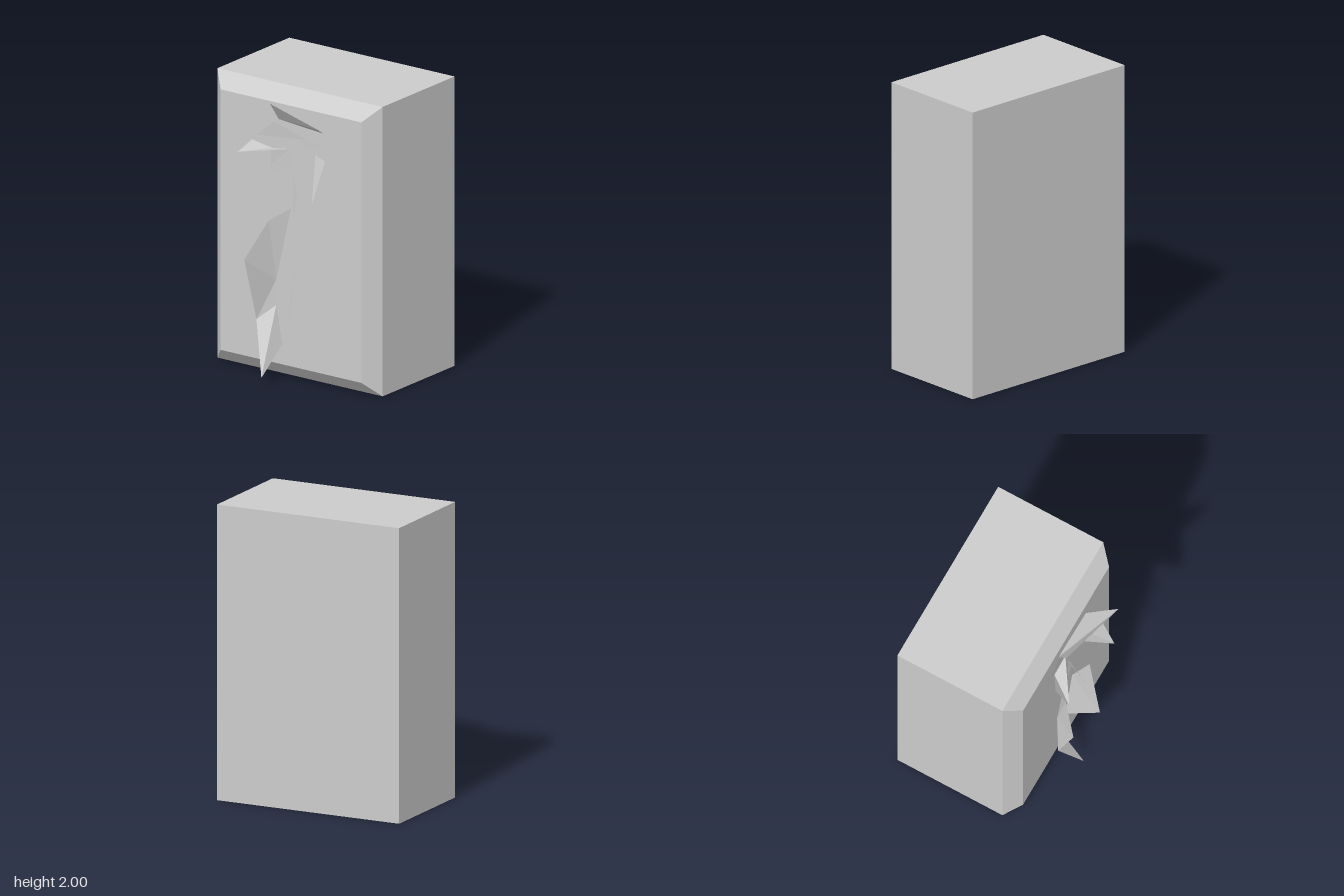
import * as THREE from 'three';

export function createModel() {
  const group = new THREE.Group();
  group.name = 'crackedBlock';
  const stone = new THREE.MeshStandardMaterial({ color: 0xcccccc, flatShading: true });
  const thin = new THREE.MeshStandardMaterial({ color: 0xcccccc, flatShading: true, side: THREE.DoubleSide });

  // Block with its right (-x) face chamfered on all four edges
  const block = new THREE.BoxGeometry(0.89, 2, 1.35, 2, 1, 1);
  const p = block.attributes.position;
  const bevel = 0.1;
  for (let i = 0; i < p.count; i++) {
    const x = p.getX(i);
    if (x > 0.1) p.setX(i, 0.54);
    else if (x > -0.1) p.setX(i, -0.25);
    else p.setXYZ(i, -0.35, p.getY(i) - Math.sign(p.getY(i)) * bevel, p.getZ(i) - Math.sign(p.getZ(i)) * bevel);
  }
  block.translate(0, 1, 0);
  block.computeVertexNormals();
  const body = new THREE.Mesh(block, stone);
  body.name = 'block';
  group.add(body);

  // A thin shard: corners given in order, filled as a fan from the first
  function addShard(name, corners) {
    const geo = new THREE.BufferGeometry();
    geo.setAttribute('position', new THREE.Float32BufferAttribute(corners.flat(), 3));
    const index = [];
    for (let i = 1; i < corners.length - 1; i++) index.push(0, i, i + 1);
    geo.setIndex(index);
    geo.computeVertexNormals();
    const mesh = new THREE.Mesh(geo, thin);
    mesh.name = name;
    group.add(mesh);
  }

  // Shards standing out of the chamfered face: root, bend, tip, root
  const root = -0.35, bend = -0.42, tip = -0.54;
  addShard('topShard', [[root, 1.79, -0.1], [bend, 1.91, -0.12], [tip, 1.855, 0.365], [root, 1.76, 0.265]]);
  addShard('upperFrontShard', [[root, 1.6, 0.2], [bend, 1.6, 0.33], [tip, 1.32, 0.31], [root, 1.38, 0.2]]);
  addShard('upperBackShard', [[root, 1.58, -0.155], [bend, 1.635, -0.265], [tip, 1.575, -0.295], [root, 1.6, -0.01]]);
  addShard('smallShard', [[root, 1.58, -0.01], [bend, 1.54, -0.035], [tip, 1.48, -0.075], [root, 1.47, 0.02]]);
  addShard('lowerFrontShard', [[root, 1.015, 0.08], [bend, 1.055, 0.19], [tip, 0.465, 0.115], [root, 0.49, -0.01]]);
  addShard('lowerBackShard', [[root, 0.675, -0.12], [root, 1.19, 0], [bend, 1.1, -0.13],
    [tip, 0.84, -0.24], [bend, 0.4, -0.23], [root, 0.5, -0.12]]);
  addShard('bottomShard', [[root, 0.5, -0.12], [bend, 0.4, -0.23], [tip, 0.05, -0.1], [root, 0.24, -0.07]]);

  // Splinters lying almost flat on the face, as [y, z] corners
  const flakes = [
    [[1.65, -0.27], [1.77, -0.13], [1.69, 0.13], [1.69, -0.16]],
    [[1.46, 0.02], [1.31, 0.06], [1.12, 0.02], [1.35, -0.035]],
    [[1.61, 0.12], [1.69, 0.28], [1.68, 0.1]],
    [[1.46, -0.16], [1.58, -0.155], [1.59, -0.02], [1.42, -0.02]],
  ];
  flakes.forEach((f, i) => addShard('flake' + (i + 1),
    f.map(([y, z], k) => [root - (k === 1 ? 0.012 : 0.004), y, z])));

  return group;
}
